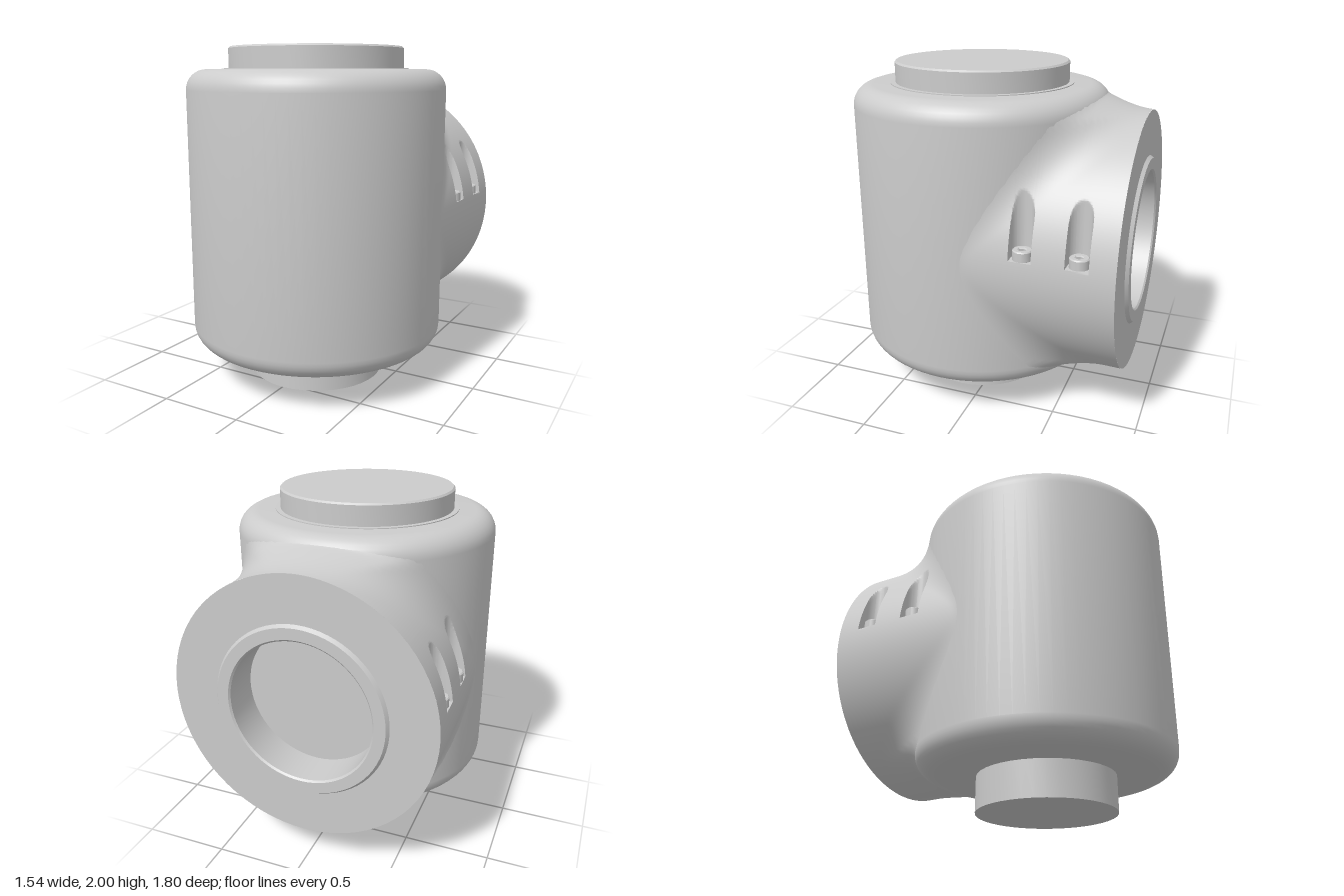
import * as THREE from 'three';
import { toCreasedNormals } from 'three/addons/utils/BufferGeometryUtils.js';

const grey = new THREE.MeshStandardMaterial({ color: 0xcccccc });
const R = 0.77, BODY_Z = 0.13, Y0 = 0.21, Y1 = 1.87, ROUND = 0.12;
const AXIS_Y = 0.98, BACK = -0.88;
const BOLT_X = 0.7, BOLT_Y = 1.06, BOLT_Z = [-0.365, -0.675], SLOT_R = 0.063;

function add(group, name, geometry, crease = 0.5) {
  const mesh = new THREE.Mesh(toCreasedNormals(geometry, crease), grey);
  mesh.name = name;
  group.add(mesh);
  return mesh;
}

function lathe(points, segments = 64) {
  return new THREE.LatheGeometry(points.map(p => new THREE.Vector2(...p)), segments);
}

// Quarter-circle of profile points
function arc(cx, cy, r, from, to, n = 8) {
  return Array.from({ length: n + 1 }, (_, i) => {
    const a = from + (to - from) * i / n;
    return [cx + r * Math.cos(a), cy + r * Math.sin(a)];
  });
}

// Signed distance of the side boss blended into the upright body, with bolt slots cut out
function field(x, y, z) {
  const rho = Math.hypot(x, y - AXIS_Y);
  const boss = rho - (0.752 + 0.018 * z / BACK);
  const dz = z - BODY_Z, len = Math.hypot(x, dz), dy = y - (Y0 + Y1) / 2;
  const qa = len - (R - 0.003) + ROUND, qb = Math.abs(dy) - ((Y1 - Y0) / 2 - 0.003) + ROUND;
  let a = Math.max(qa, 0), b = Math.max(qb, 0);
  const m = Math.hypot(a, b);
  const body = m + Math.min(Math.max(qa, qb), 0) - ROUND;
  if (m > 0) { a /= m; b /= m; } else a = 1;
  // The blend fades away where both surfaces run parallel
  const dot = (a * x / len * x + b * Math.sign(dy) * (y - AXIS_Y)) / rho;
  const k = 0.3 * (1 - Math.abs(dot)) + 1e-6;
  const h = Math.max(k - Math.abs(boss - body), 0) / k;
  let d = Math.min(boss, body) - h * h * k / 4;
  for (const bz of BOLT_Z) {
    const side = Math.min(Math.abs(x) - BOLT_X, 0);
    const slot = Math.max(Math.hypot(side, z - bz) - SLOT_R, BOLT_Y - y);
    d = Math.max(d, -slot);
  }
  return d;
}

// Skin of the boss: radius solved around the horizontal axis, finer around the slots
function bossGeometry() {
  const zs = [];
  for (let i = 0; i <= 44; i++) zs.push(BACK * i / 44);
  for (const bz of BOLT_Z) {
    for (let i = -8; i <= 8; i++) zs.push(bz + SLOT_R * 0.999 * Math.sin(i * Math.PI / 16));
    zs.push(bz - SLOT_R - 0.001, bz + SLOT_R + 0.001);
  }
  zs.sort((p, q) => q - p);
  const angles = [];
  for (let t = 0; t < 360;) {
    angles.push(t * Math.PI / 180);
    const fine = (t >= 4 && t < 40) || (t >= 140 && t < 176);
    t = Math.round((t + (fine ? 0.4 : 2)) * 10) / 10;
  }
  const n = angles.length, pos = [], index = [];
  zs.forEach((z, i) => {
    angles.forEach((t, j) => {
      const c = Math.cos(t), s = Math.sin(t);
      let lo = 0.4, hi = 1.3;
      for (let it = 0; it < 24; it++) {
        const mid = (lo + hi) / 2;
        if (field(mid * c, AXIS_Y + mid * s, z) < 0) lo = mid; else hi = mid;
      }
      pos.push(lo * c, AXIS_Y + lo * s, z);
      if (i > 0) {
        const p = (i - 1) * n + j, q = (i - 1) * n + (j + 1) % n;
        index.push(p, q, p + n, q, q + n, p + n);
      }
    });
  });
  const g = new THREE.BufferGeometry();
  g.setAttribute('position', new THREE.Float32BufferAttribute(pos, 3));
  g.setIndex(index);
  // Front side must point away from the horizontal axis
  for (let i = 0; i < index.length; i += 3) [index[i + 1], index[i + 2]] = [index[i + 2], index[i + 1]];
  g.setIndex(index);
  return g;
}

// Socket-head bolt standing on y = 0
function bolt() {
  const g = new THREE.Group();
  const head = new THREE.Shape().absarc(0, 0, 0.048, 0, Math.PI * 2);
  const hex = new THREE.Path();
  for (let i = 0; i < 6; i++) {
    const a = i * Math.PI / 3;
    hex[i ? 'lineTo' : 'moveTo'](0.028 * Math.cos(a), 0.028 * Math.sin(a));
  }
  hex.closePath();
  head.holes.push(hex);
  const geo = new THREE.ExtrudeGeometry(head, {
    depth: 0.05, curveSegments: 20, bevelThickness: 0.006, bevelSize: 0.006, bevelSegments: 1,
  });
  add(g, 'boltHead', geo.rotateX(-Math.PI / 2));
  add(g, 'socketFloor', new THREE.CylinderGeometry(0.04, 0.04, 0.015, 20).translate(0, 0.0075, 0));
  return g;
}

export function createModel() {
  const model = new THREE.Group();
  model.name = 'tubeJoint';

  // Upright body with rounded rims
  const H = Math.PI / 2;
  const body = add(model, 'body', lathe([
    [0, Y0],
    ...arc(R - ROUND, Y0 + ROUND, ROUND, -H, 0),
    ...arc(R - ROUND, Y1 - ROUND, ROUND, 0, H),
    [0, Y1],
  ], 72));

  // Top cap on its thin seat, and bottom spigot
  const seat = add(model, 'capSeat', new THREE.CylinderGeometry(0.55, 0.55, 0.01, 64).translate(0, Y1, 0));
  const cap = add(model, 'topCap', lathe([[0.52, Y1 - 0.02], [0.52, 1.99], [0.51, 2], [0, 2]]));
  const spigot = add(model, 'bottomSpigot', lathe([[0, 0], [0.41, 0], [0.41, Y0 + 0.02]], 40));
  for (const part of [body, seat, cap, spigot]) part.position.z = BODY_Z;

  // Side boss blended into the body
  add(model, 'sideBoss', bossGeometry(), 0.6);

  // Back face with raised collar and blind bore
  const face = lathe([
    [R, 0.88], [0.505, 0.88], [0.49, 0.9], [0.425, 0.9], [0.415, 0.89], [0.415, 0.67], [0, 0.67],
  ], 72);
  const flange = add(model, 'backFlange', face.rotateX(-Math.PI / 2));
  flange.position.y = AXIS_Y;

  // Clamping bolts in the slots
  for (const side of [-1, 1]) for (const z of BOLT_Z) {
    const b = bolt();
    b.name = side > 0 ? 'leftBolt' : 'rightBolt';
    b.position.set(side * BOLT_X, BOLT_Y, z);
    model.add(b);
  }
  return model;
}
